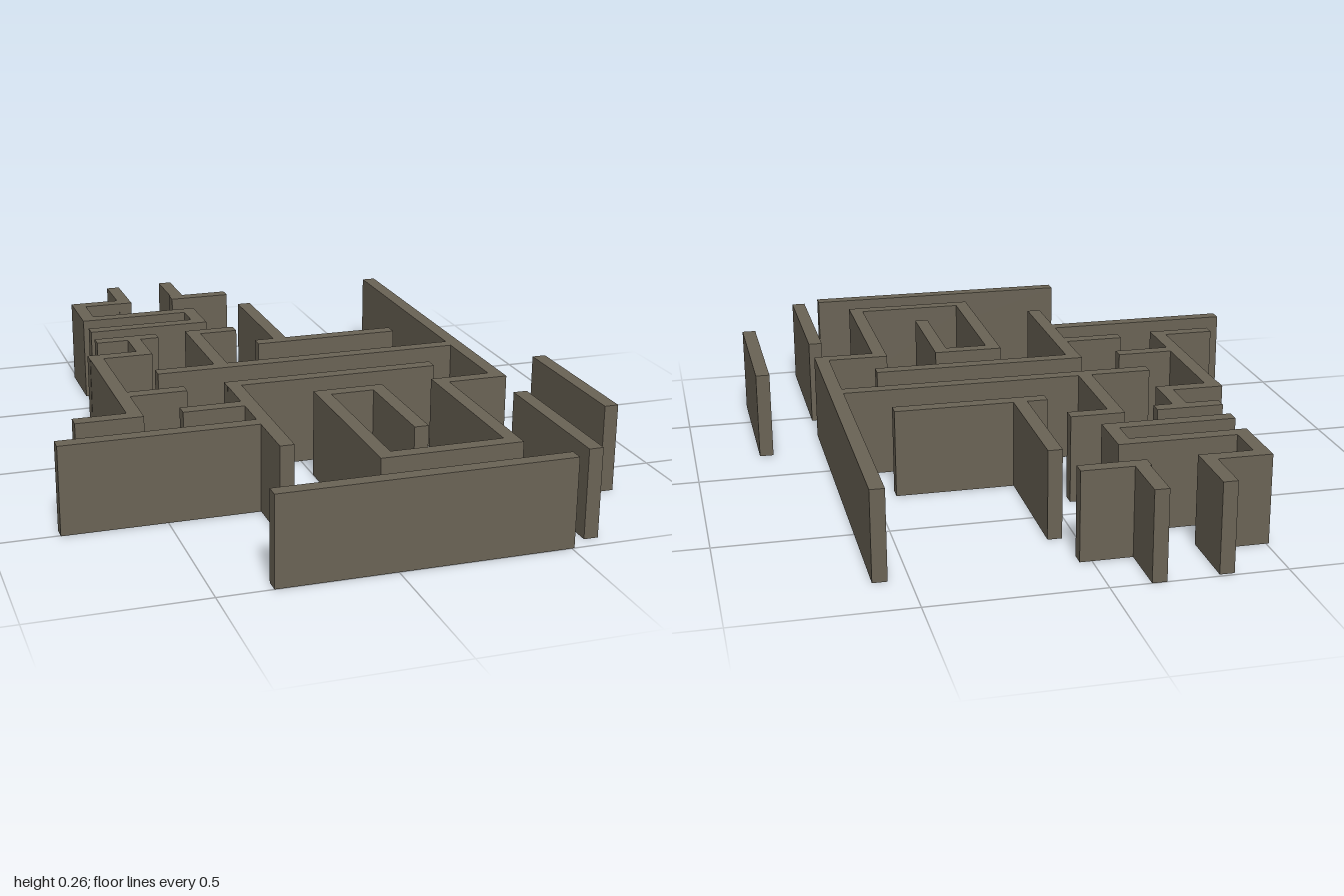
import * as THREE from 'three';

const HEIGHT = 0.265;
const THICK = 0.042;

export function createModel() {
  const model = new THREE.Group();
  model.name = 'mazeWalls';
  const material = new THREE.MeshStandardMaterial({ color: 0x6a6355, flatShading: true });

  function section(name) {
    const group = new THREE.Group();
    group.name = name;
    model.add(group);
    const wall = (w, d, x, z) => {
      const mesh = new THREE.Mesh(new THREE.BoxGeometry(w, HEIGHT, d), material);
      mesh.name = 'wall';
      mesh.position.set(x, HEIGHT / 2, z);
      group.add(mesh);
    };
    return {
      // Wall running left-right from x1 to x2, centred on z
      alongX: (x1, x2, z) => wall(x2 - x1, THICK, (x1 + x2) / 2, z),
      // Wall running front-back from z1 to z2, centred on x
      alongZ: (z1, z2, x) => wall(THICK, z2 - z1, x, (z1 + z2) / 2),
    };
  }

  // Zigzag at the back
  let s = section('backZigzag');
  s.alongZ(-0.99, -0.785, -0.328);
  s.alongX(-0.508, -0.307, -0.807);
  s.alongZ(-0.828, -0.619, -0.487);
  s.alongX(-0.508, -0.119, -0.64);
  s.alongZ(-0.661, -0.489, -0.14);
  s.alongX(-0.508, -0.119, -0.51);

  // Small L at the back
  s = section('backCorner');
  s.alongZ(-1, -0.786, -0.137);
  s.alongX(-0.162, 0.035, -0.807);

  // Upside-down T behind the centre
  s = section('innerTee');
  s.alongZ(-0.661, -0.206, 0.061);
  s.alongX(-0.022, 0.438, -0.227);

  // Long side wall leading into the spiral
  s = section('spiral');
  s.alongZ(-0.828, 0.325, 0.58);
  s.alongX(0.374, 0.601, 0.304);
  s.alongZ(0.283, 0.85, 0.394);
  s.alongX(0, 0.415, 0.829);
  s.alongZ(0.283, 0.85, 0.021);
  s.alongX(0, 0.215, 0.304);
  s.alongZ(0.283, 0.655, 0.194);

  // Centre wall with its hooked branch
  s = section('centreBranch');
  s.alongX(-0.4, 0.56, -0.029);
  s.alongZ(-0.41, -0.03, -0.192);
  s.alongX(-0.213, -0.05, -0.389);

  // Stepped walls on the right-hand side
  s = section('rightSteps');
  s.alongX(-0.513, -0.312, -0.389);
  s.alongZ(-0.41, -0.206, -0.392);
  s.alongX(-0.569, -0.371, -0.227);
  s.alongZ(-0.248, 0.345, -0.547);
  s.alongX(-0.725, -0.526, 0.324);
  s.alongX(-0.568, -0.354, 0.146);

  // Front branch with two side arms
  s = section('frontBranch');
  s.alongX(-0.23, 0.43, 0.146);
  s.alongZ(0.125, 0.683, -0.208);
  s.alongX(-0.412, -0.2, 0.324);
  s.alongX(-0.805, -0.2, 0.483);

  // Free-standing outer walls
  s = section('outerWalls');
  s.alongZ(0.469, 0.955, 0.58);
  s.alongZ(0.177, 0.661, 0.779);
  s.alongX(-0.343, 0.508, 0.979);

  return model;
}
